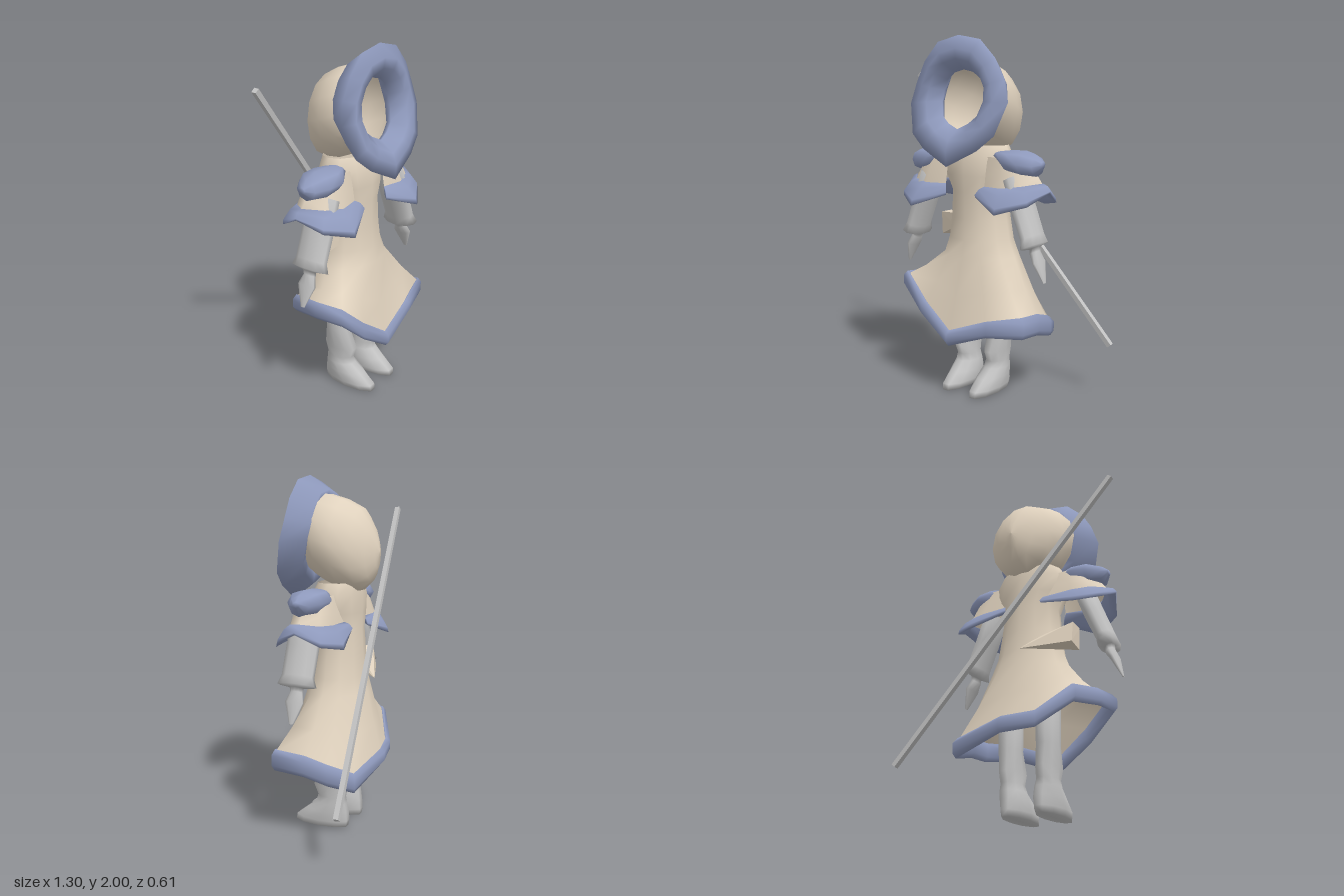
import * as THREE from 'three';
import { ConvexGeometry } from 'three/addons/geometries/ConvexGeometry.js';

const mat = (name, color) => new THREE.MeshStandardMaterial({ name, color, side: THREE.DoubleSide });
const V = (x, y, z) => new THREE.Vector3(x, y, z);

// Skin a list of equal-length rings; loop joins the last ring to the first, open leaves each ring unclosed.
function loft(rings, { loop = false, capped = false, open = false } = {}) {
  const n = rings[0].length, m = rings.length, idx = [];
  const pts = rings.flat();
  for (let i = 0; i < (loop ? m : m - 1); i++) {
    for (let j = 0; j < (open ? n - 1 : n); j++) {
      const k = (j + 1) % n, r = ((i + 1) % m) * n;
      const a = i * n + j, b = i * n + k, c = r + j, d = r + k;
      idx.push(a, c, b, b, c, d);
    }
  }
  if (capped) {
    [0, m - 1].forEach((i) => {
      const mid = V(0, 0, 0);
      rings[i].forEach((p) => mid.addScaledVector(p, 1 / n));
      const c = pts.push(mid) - 1;
      for (let j = 0; j < n; j++) {
        const a = i * n + j, b = i * n + (j + 1) % n;
        if (i === 0) idx.push(c, a, b); else idx.push(c, b, a);
      }
    });
  }
  const g = new THREE.BufferGeometry().setFromPoints(pts);
  g.setIndex(idx);
  g.computeVertexNormals();
  return g;
}

// n values of f(cos, sin) around a circle
const around = (n, f) => Array.from({ length: n }, (_, j) => {
  const a = (j / n) * Math.PI * 2;
  return f(Math.cos(a), Math.sin(a));
});

// Fur band hanging from a path of [x, y, z, height], bulging and leaning away from an axis
function trimRings(path, cx, cz, t, lean) {
  return path.map(([x, y, z, h]) => {
    const o = V(x - cx, 0, z - cz).normalize();
    return [[0, 0], [t, -0.25], [t, -0.75], [0.2 * t, -1], [-t, -0.8], [-t, -0.2]]
      .map(([d, v]) => V(x, y + v * h, z).addScaledVector(o, d - lean * v * h));
  });
}

// Mirror a geometry in x and turn its faces the right way round again
function mirrored(geo) {
  const g = geo.clone().scale(-1, 1, 1), a = g.index.array;
  for (let i = 0; i < a.length; i += 3) [a[i + 1], a[i + 2]] = [a[i + 2], a[i + 1]];
  g.computeVertexNormals();
  return g;
}

export function createModel() {
  const cloth = mat('cream cloth', 0xe0d2be);
  const fur = mat('blue fur', 0x8f9abd);
  const grey = mat('light grey', 0xc2c2c2);
  const model = new THREE.Group();
  const add = (name, geo, m) => {
    const mesh = new THREE.Mesh(geo, m);
    mesh.name = name;
    model.add(mesh);
    return mesh;
  };
  const addPair = (name, geo, m, cx) => {
    add(name + 'Left', geo, m).position.x = cx;
    add(name + 'Right', mirrored(geo), m).position.x = cx;
  };
  const CX = -0.055;

  // Hood: sections from the face opening to the back [z, rx, cy, ry]
  const hood = [
    [0.14, 0.21, 1.66, 0.21], [0.07, 0.25, 1.655, 0.245], [-0.03, 0.235, 1.62, 0.25],
    [-0.13, 0.195, 1.59, 0.23], [-0.19, 0.115, 1.57, 0.155], [-0.222, 0.045, 1.57, 0.08],
    [-0.235, 0.0005, 1.58, 0.0005],
  ].map(([z, rx, cy, ry]) => around(14, (c, s) => V(CX + rx * c, cy + ry * s, z)));
  add('hood', loft(hood), cloth);

  // Hood fur ring: half outline [outer x, outer y, inner x, inner y], then mirrored
  const half = [
    [0, 2.0, 0, 1.82], [0.15, 1.97, 0.065, 1.805], [0.25, 1.87, 0.115, 1.77],
    [0.31, 1.76, 0.142, 1.71], [0.345, 1.64, 0.145, 1.65], [0.29, 1.47, 0.12, 1.57],
    [0.19, 1.39, 0.07, 1.53], [0, 1.3, 0, 1.5],
  ];
  const outline = [...half, ...half.slice(1, -1).reverse().map(([a, b, c, d]) => [-a, b, -c, d])];
  const furRing = outline.reverse().map(([ox, oy, ix, iy]) =>
    // [position from outer to inner edge, position from back to front]
    [[0, 0.78], [0.4, 1], [0.7, 0.95], [1, 0.5], [0.8, 0.1], [0.45, 0]].map(([t, f]) => {
      const x = ox + (ix - ox) * t, y = oy + (iy - oy) * t, drop = Math.max(0, 1.7 - y);
      const back = 0.07 + drop * 0.34, front = 0.225 + drop * 0.25;
      return V(CX + x, y, back + (front - back) * f);
    }));
  add('hoodFur', loft(furRing, { loop: true }), fur);

  // Coat hem, uneven and starting at +x, going round by the front: [x, y, z, fur height]
  const hem = [
    [0.36, 0.5, 0.03, 0.12], [0.38, 0.52, 0.2, 0.12], [0.17, 0.47, 0.245, 0.09],
    [-0.075, 0.38, 0.265, 0.09], [-0.27, 0.52, 0.25, 0.1], [-0.43, 0.665, 0.225, 0.1],
    [-0.42, 0.65, 0.05, 0.1], [-0.37, 0.62, -0.14, 0.1], [-0.2, 0.48, -0.23, 0.09],
    [-0.02, 0.47, -0.265, 0.09], [0.275, 0.41, -0.225, 0.11], [0.34, 0.46, -0.1, 0.12],
  ];
  const hemRing = hem.map(([x, y, z]) => V(x, y - 0.02, z));

  // Coat: rings from waist to collar [y, rx, z front, z back]
  const coat = [
    [0.79, 0.235, 0.18, -0.17], [0.88, 0.2, 0.16, -0.15], [1.0, 0.182, 0.15, -0.14],
    [1.15, 0.165, 0.15, -0.13], [1.24, 0.21, 0.155, -0.13], [1.34, 0.225, 0.15, -0.13],
    [1.41, 0.18, 0.12, -0.12],
  ].map(([y, rx, zf, zb]) => around(12, (c, s) =>
    V(CX + 0.02 * (1.16 - y) + rx * c, y, (zf + zb) / 2 + s * (zf - zb) / 2)));
  const flare = hemRing.map((p, i) => p.clone().lerp(coat[0][i], 0.5).add(V(0, -0.015, 0)));
  add('coat', loft([hemRing, flare, ...coat]), cloth);
  add('hemFur', loft(trimRings(hem, CX, 0, 0.024, 0), { loop: true }), fur);

  // Wide short sleeves with a drooping fur brim, from back to front: [x, y, z, fur height]
  const edge = [
    [0.14, 1.2, -0.08, 0.05], [0.29, 1.2, -0.08, 0.12], [0.39, 1.205, -0.05, 0.1],
    [0.46, 1.22, 0.04, 0.05], [0.38, 1.205, 0.13, 0.1], [0.27, 1.19, 0.165, 0.13],
    [0.14, 1.19, 0.14, 0.06],
  ];
  const sleeveRow = (k, y) => edge.map((p) =>
    V(0.14 + (p[0] - 0.14) * k, y ?? p[1] - 0.01, 0.04 + (p[2] - 0.04) * k));
  addPair('sleeve', loft([sleeveRow(1), sleeveRow(0.88, 1.26), sleeveRow(0.7, 1.35)],
    { open: true }), cloth, -0.06);
  addPair('sleeveFur', loft(trimRings(edge, 0.23, 0.04, 0.02, 0.75), { capped: true }), fur, -0.06);

  // Fur shoulder pads: sections outward along x [x, y, ry, rz]
  const pad = [
    [0.18, 1.36, 0.02, 0.06], [0.27, 1.33, 0.06, 0.115], [0.36, 1.32, 0.07, 0.105],
    [0.43, 1.31, 0.055, 0.06], [0.465, 1.32, 0.015, 0.02],
  ].map(([x, y, ry, rz]) => around(8, (c, s) => V(x, y + ry * s, 0.05 + rz * c)));
  addPair('shoulderPad', loft(pad, { capped: true }), fur, -0.06);

  // Arms with flared cuffs and pointed mitten hands [y, x, rx, rz]
  const arm = [
    [0.69, 0.5, 0.004, 0.012], [0.8, 0.462, 0.02, 0.055], [0.85, 0.435, 0.025, 0.035],
    [0.875, 0.435, 0.025, 0.04], [0.885, 0.432, 0.048, 0.115], [0.93, 0.418, 0.046, 0.095],
    [1.08, 0.358, 0.05, 0.095], [1.24, 0.3, 0.05, 0.09],
  ].map(([y, x, rx, rz]) => around(10, (c, s) => V(x + rx * c, y + 0.5 * rx * c, 0.068 + rz * s)));
  addPair('arm', loft(arm, { capped: true }), grey, -0.065);

  // Legs and boots [y, x, rx, z back, z front]
  const leg = [
    [0, 0.1, 0.06, -0.1, 0.235], [0.035, 0.1, 0.072, -0.105, 0.23], [0.09, 0.1, 0.072, -0.1, 0.16],
    [0.14, 0.105, 0.066, -0.09, 0.095], [0.18, 0.108, 0.056, -0.085, 0.085],
    [0.24, 0.11, 0.06, -0.1, 0.11], [0.36, 0.115, 0.062, -0.085, 0.065], [0.56, 0.115, 0.065, -0.09, 0.07],
  ].map(([y, x, rx, zb, zf]) => around(10, (c, s) =>
    V(x + rx * c, y, (zb + zf) / 2 + s * (zf - zb) / 2)));
  addPair('leg', loft(leg, { capped: true }), grey, -0.04);

  // Wedge-shaped pouch at the hip
  const pouch = [
    V(-0.355, 1.0, -0.08), V(-0.355, 0.88, -0.1), V(-0.35, 1.0, 0.01), V(-0.345, 0.87, 0.01),
    V(-0.2, 1.01, 0.06), V(-0.2, 0.93, 0.06), V(-0.09, 0.86, -0.195), V(-0.15, 0.95, -0.1),
  ];
  add('pouch', new ConvexGeometry(pouch), cloth);

  // Staff slung across the back
  const a = V(-0.64, 1.82, -0.122), b = V(0.64, 0.295, -0.288);
  const staff = add('staff', new THREE.BoxGeometry(0.028, a.distanceTo(b), 0.028), grey);
  staff.position.copy(a).lerp(b, 0.5);
  staff.quaternion.setFromUnitVectors(V(0, 1, 0), a.clone().sub(b).normalize());

  return model;
}
